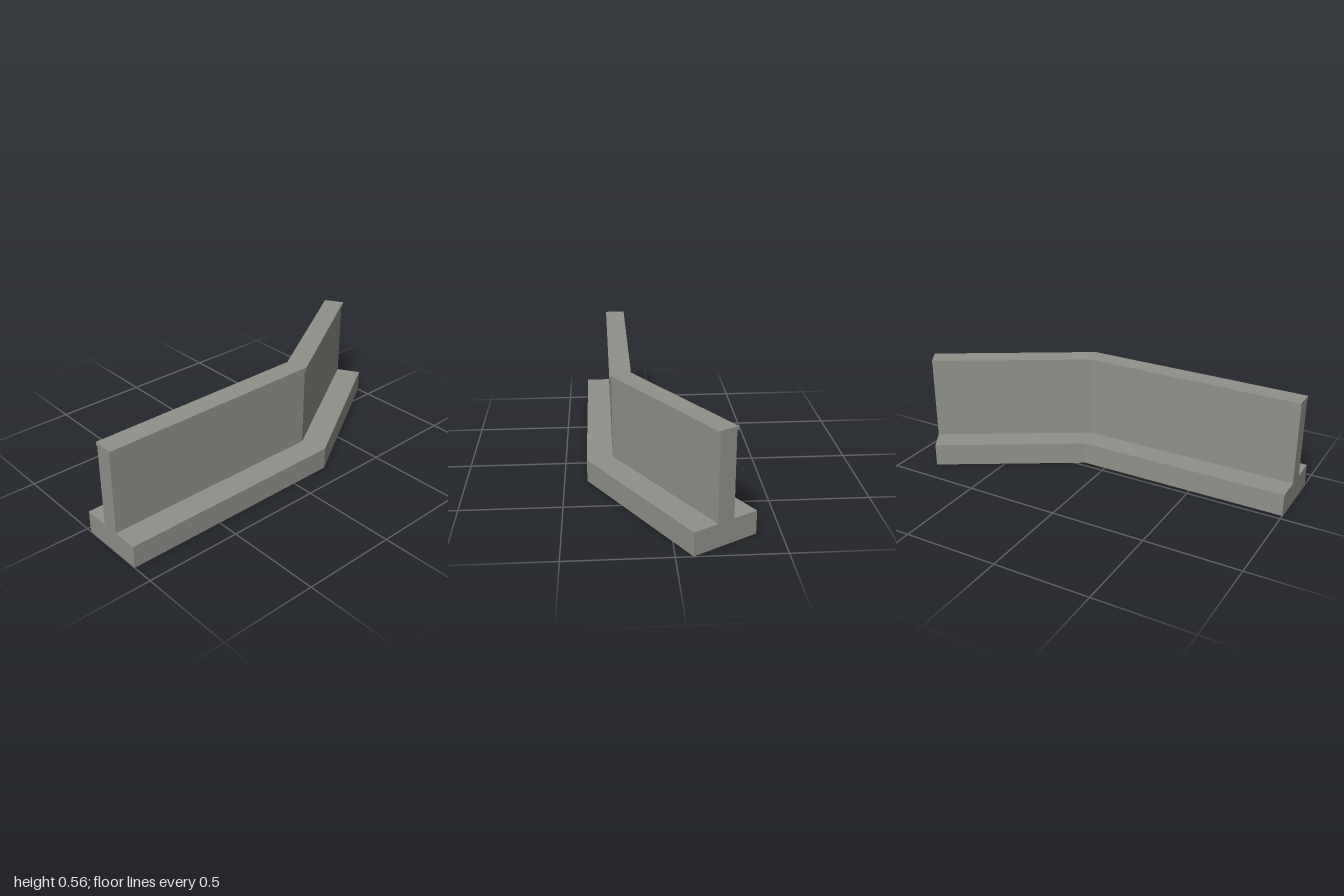
import * as THREE from 'three';

// Plan centreline of the wall: [x, z]; a straight run, then a bent run
const START = [-1, 0.207];
const BEND = [0.171, 0.207];
const END = [0.908, -0.232];

// Plan outline of a strip with the given half width, mitred at the bend
function stripShape(half) {
  const angle = Math.atan2(BEND[1] - END[1], END[0] - BEND[0]);
  const miter = half * Math.tan(angle / 2);
  const side = (s) => [
    [START[0], START[1] + s * half],
    [BEND[0] + s * miter, BEND[1] + s * half],
    [END[0] + s * half * Math.sin(angle), END[1] + s * half * Math.cos(angle)],
  ];
  const outline = [...side(1), ...side(-1).reverse()];
  return new THREE.Shape(outline.map(([x, z]) => new THREE.Vector2(x, -z)));
}

export function createModel() {
  const group = new THREE.Group();
  group.name = 'bentRetainingWall';
  const concrete = new THREE.MeshStandardMaterial({ color: 0x8f918a });
  concrete.name = 'concrete';

  // Raise a strip from y0 to y1
  const addStrip = (name, half, y0, y1) => {
    const geometry = new THREE.ExtrudeGeometry(stripShape(half), { depth: y1 - y0, bevelEnabled: false });
    geometry.rotateX(-Math.PI / 2).translate(0, y0, 0);
    const mesh = new THREE.Mesh(geometry, concrete);
    mesh.name = name;
    group.add(mesh);
  };

  addStrip('footing', 0.177, 0, 0.118);
  addStrip('wall', 0.045, 0.118, 0.541);
  addStrip('coping', 0.054, 0.541, 0.558);
  return group;
}
